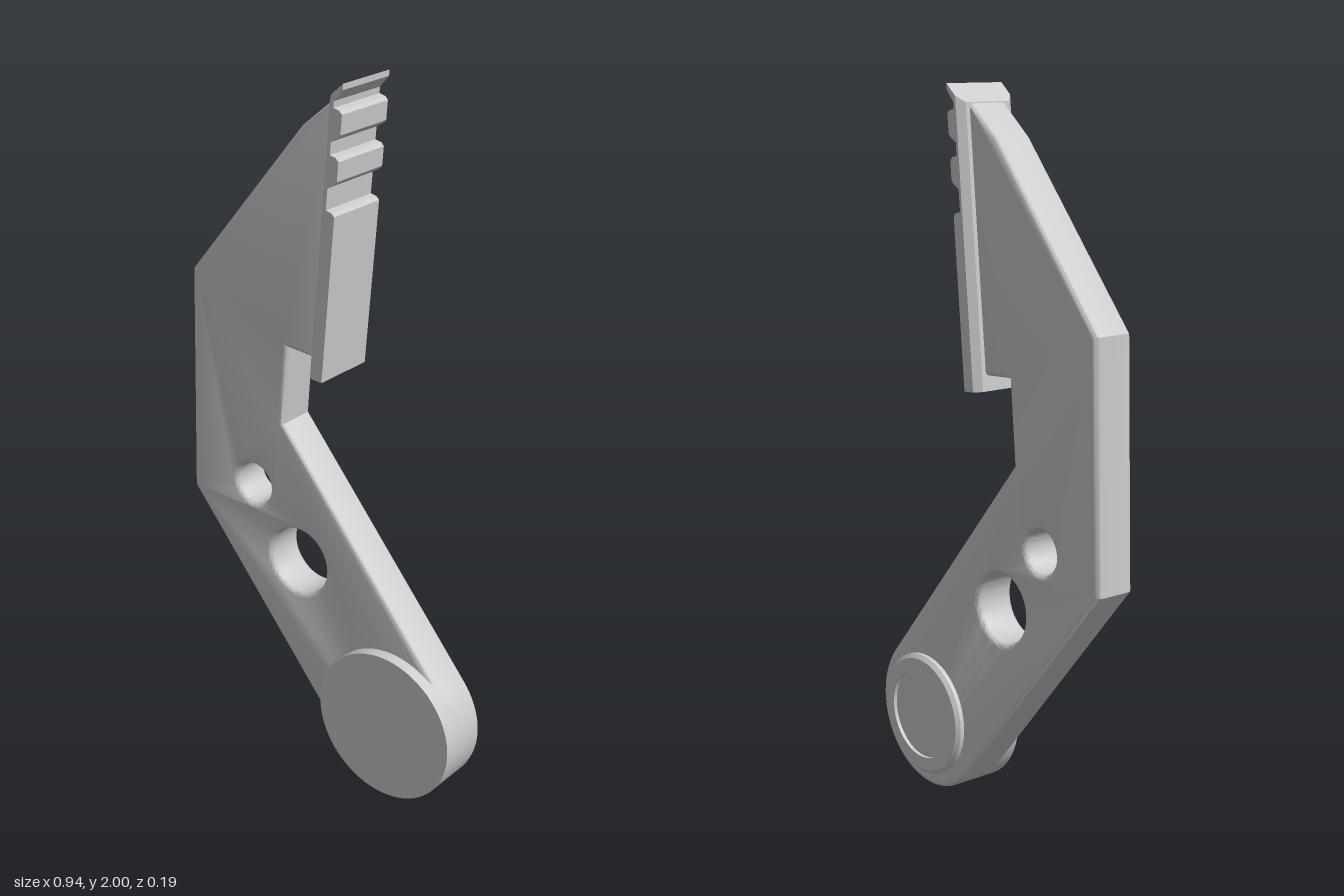
import * as THREE from 'three';
import { toCreasedNormals } from 'three/addons/utils/BufferGeometryUtils.js';

const material = new THREE.MeshStandardMaterial({ color: 0xcccccc });
const PIVOT = [0.245, 0.221], PIVOT_R = 0.221;
const RAIL_HALF = 0.092, RAIL_STEP = 0.018;

// Point on the slanted rail: v is the distance out from its inner face
const rail = (v, y) => new THREE.Vector2(-0.025 + v + (y - 1.2) * 0.092, y);

function addMesh(group, name, geometry) {
  const mesh = new THREE.Mesh(geometry, material);
  mesh.name = name;
  group.add(mesh);
  return mesh;
}

// Flat arm with softened edges, rounded pivot end and two bored holes
function armGeometry() {
  const s = new THREE.Shape();
  const a = THREE.MathUtils.degToRad(40);
  s.moveTo(-0.47, 0.735);
  s.lineTo(PIVOT[0] - PIVOT_R * Math.cos(a), PIVOT[1] - PIVOT_R * Math.sin(a));
  s.absarc(...PIVOT, PIVOT_R, a + Math.PI, a + 2 * Math.PI, false);
  s.lineTo(-0.135, 1.02);
  s.lineTo(-0.115, 1.25);
  s.lineTo(rail(0.012, 1.243).x, 1.243);
  s.lineTo(rail(0.012, 1.96).x, 1.96);
  s.lineTo(-0.06, 1.865);
  s.lineTo(-0.45, 1.4);
  s.closePath();
  for (const [x, y, r] of [[-0.243, 0.807, 0.06], [-0.083, 0.614, 0.098]]) {
    const hole = new THREE.Path();
    hole.absarc(x, y, r, 0, Math.PI * 2, true);
    s.holes.push(hole);
  }
  const bevel = 0.014;
  const g = new THREE.ExtrudeGeometry(s, {
    depth: 0.12 - 2 * bevel, curveSegments: 40, bevelEnabled: true,
    bevelThickness: bevel, bevelSize: bevel, bevelOffset: -bevel, bevelSegments: 3,
  });
  g.translate(0, 0, -0.06 + bevel);
  return toCreasedNormals(g, 0.6);
}

// Outer part of the rail: long pad, then teeth separated by notches
function toothedRailGeometry() {
  const outer = 0.055, floor = 0.027, c = 0.009;
  const pts = [rail(RAIL_STEP, 1.201), rail(outer, 1.199)];
  const notches = [[1.668, 1.742], [1.812, 1.862], [1.932, 1.965]];
  for (const [low, high] of notches) {
    pts.push(rail(outer, low - c), rail(outer - c, low), rail(floor, low + 0.004));
    pts.push(rail(floor, high - 0.012));
    if (high < 1.9) pts.push(rail(outer - c, high), rail(outer, high + c));
  }
  pts.push(rail(0.052, 1.984), rail(0.0515, 2), rail(RAIL_STEP, 1.969));
  const g = new THREE.ExtrudeGeometry(new THREE.Shape(pts), { depth: RAIL_HALF * 2, bevelEnabled: false });
  return g.translate(0, 0, -RAIL_HALF);
}

// Inner strip of the rail, tapering in z toward the arm
function railTaperGeometry() {
  const shape = new THREE.Shape([
    rail(0, 1.203), rail(RAIL_STEP, 1.201), rail(RAIL_STEP, 1.969), rail(0, 1.953),
  ]);
  const g = new THREE.ExtrudeGeometry(shape, { depth: RAIL_HALF * 2, bevelEnabled: false });
  g.translate(0, 0, -RAIL_HALF);
  const p = g.attributes.position;
  for (let i = 0; i < p.count; i++) {
    const v = p.getX(i) - rail(0, p.getY(i)).x;
    if (v < RAIL_STEP / 2) p.setZ(i, Math.sign(p.getZ(i)) * 0.072);
  }
  g.computeVertexNormals();
  return g;
}

// Round part turned about the pivot axis; profile is [radius, depth toward the back]
function turned(profile) {
  const g = new THREE.LatheGeometry(profile.map(([r, d]) => new THREE.Vector2(r, d)), 72);
  g.rotateX(-Math.PI / 2);
  g.translate(...PIVOT, 0);
  return toCreasedNormals(g, 0.5);
}

export function createModel() {
  const model = new THREE.Group();
  model.name = 'bracketArm';

  addMesh(model, 'arm', armGeometry());

  const railGroup = new THREE.Group();
  railGroup.name = 'toothedRail';
  addMesh(railGroup, 'railTeeth', toothedRailGeometry());
  addMesh(railGroup, 'railTaper', railTaperGeometry());
  model.add(railGroup);

  // Plain disc on the front of the pivot
  addMesh(model, 'frontDisc', turned([
    [0, -0.094], [PIVOT_R, -0.094], [PIVOT_R, 0.04], [0, 0.04],
  ]));

  // Stepped cap with a shallow recess on the back of the pivot
  addMesh(model, 'backCap', turned([
    [0, 0.04], [0.165, 0.04], [0.165, 0.066], [0.176, 0.068], [0.176, 0.08],
    [0.165, 0.09], [0.128, 0.09], [0.128, 0.08], [0, 0.08],
  ]));

  return model;
}
